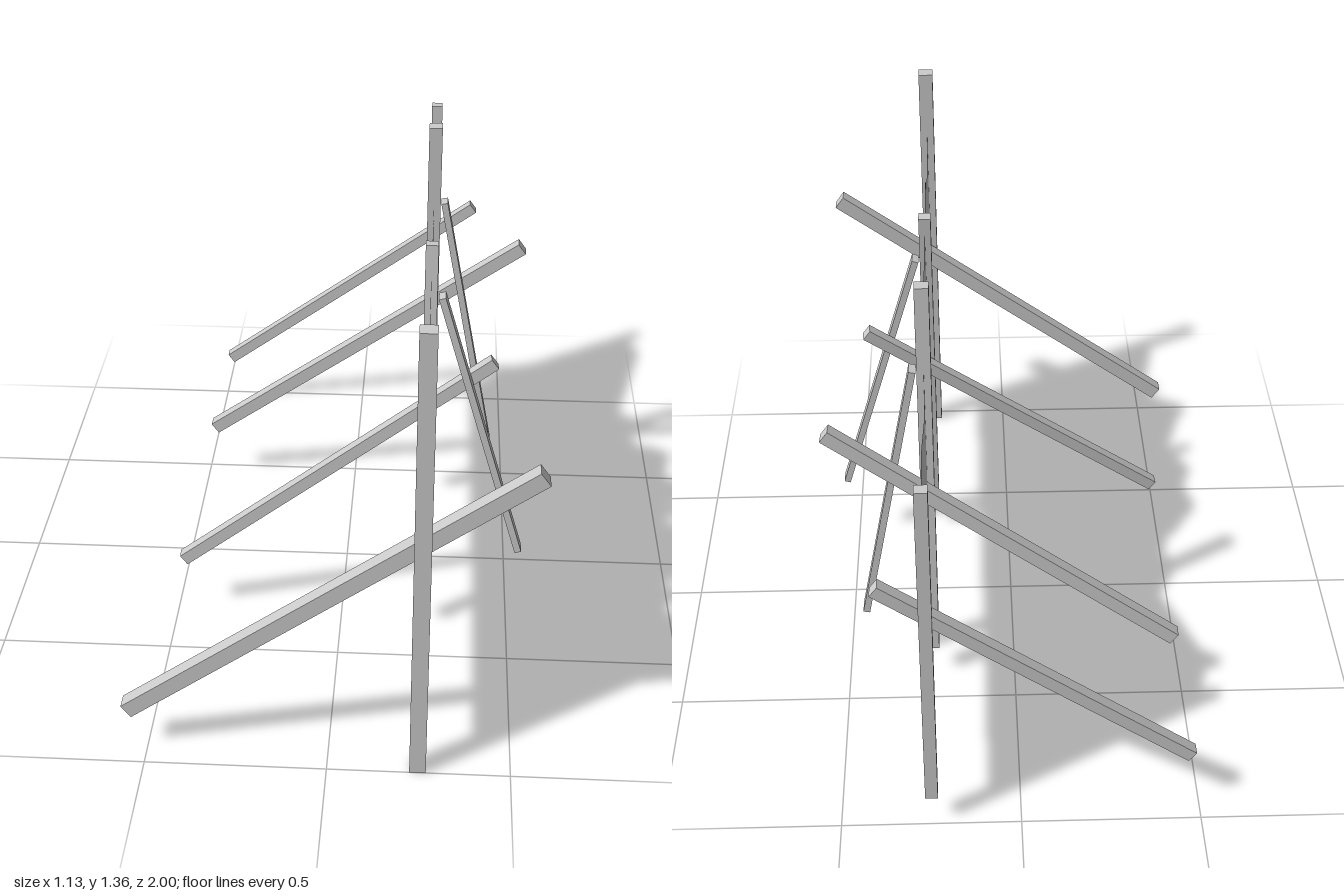
import * as THREE from 'three';

const material = new THREE.MeshStandardMaterial({ color: 0xcccccc, flatShading: true });
const sheetMaterial = new THREE.MeshStandardMaterial({ color: 0xcccccc, side: THREE.DoubleSide });

// Squared timber running from a to b; width lies along z, depth across it
function beam(name, a, b, width, depth) {
  const start = new THREE.Vector3(...a);
  const end = new THREE.Vector3(...b);
  const along = end.clone().sub(start);
  const length = along.length();
  along.normalize();
  const across = new THREE.Vector3().crossVectors(along, new THREE.Vector3(0, 0, 1)).normalize();
  const side = new THREE.Vector3().crossVectors(across, along);
  const mesh = new THREE.Mesh(new THREE.BoxGeometry(depth, length, width), material);
  mesh.quaternion.setFromRotationMatrix(new THREE.Matrix4().makeBasis(across, along, side));
  mesh.position.copy(start).add(end).multiplyScalar(0.5);
  mesh.name = name;
  return mesh;
}

export function createModel() {
  const group = new THREE.Group();
  group.name = 'proppedFence';
  const X = 0.248;

  // Thin sheet with a ragged top edge, points given as (z, y)
  const outline = [
    [0.978, 0.215], [0.978, 1.15], [0.83, 1.115], [0.735, 1.08], [0.675, 1.15], [0.63, 1.095],
    [0.54, 1.195], [0.455, 1.23], [0.285, 1.145], [0.11, 1.23], [0.035, 1.18], [-0.09, 1.222],
    [-0.185, 1.11], [-0.205, 1.065], [-0.28, 1.035], [-0.32, 1.09], [-0.38, 1.075], [-0.46, 0.995],
    [-0.67, 1.085], [-0.845, 1.157], [-0.93, 1.11], [-0.967, 1.125], [-0.982, 1.19], [-0.985, 0.215],
  ];
  const shape = new THREE.Shape(outline.map(([z, y]) => new THREE.Vector2(z, y)));
  const sheet = new THREE.Mesh(new THREE.ShapeGeometry(shape).rotateY(-Math.PI / 2), sheetMaterial);
  sheet.position.x = X;
  sheet.name = 'raggedSheet';
  group.add(sheet);

  // Upright posts: bottom y, z and top y, z, thickness
  const posts = [
    [0, 0.978, 1.36, 0.978, 0.045],
    [0.09, 0.332, 1.23, 0.245, 0.036],
    [0.11, -0.386, 1.34, -0.335, 0.04],
    [0.1, -0.982, 1.155, -0.982, 0.035],
  ];
  posts.forEach(([y0, z0, y1, z1, t], i) =>
    group.add(beam(`post${i + 1}`, [X, y0, z0], [X, y1, z1], t, t)));

  // Long sloping braces, all on the same incline: x, z at each end, thickness
  const incline = (x) => 0.13 + 0.7245 * (x + 0.552);
  const braces = [
    [-0.552, 0.925, 0.548, 0.925, 0.045],
    [-0.477, 0.301, 0.436, 0.217, 0.036],
    [-0.472, -0.455, 0.528, -0.405, 0.04],
    [-0.472, -0.934, 0.38, -0.934, 0.036],
  ];
  braces.forEach(([x0, z0, x1, z1, t], i) =>
    group.add(beam(`brace${i + 1}`, [x0, incline(x0), z0], [x1, incline(x1), z1], t, t)));

  // Slim props leaning on the two middle posts
  group.add(beam('prop1', [0.527, 0.243, 0.28], [0.28, 1.078, 0.262], 0.044, 0.02));
  group.add(beam('prop2', [0.442, 0.232, -0.352], [0.28, 1.087, -0.352], 0.044, 0.02));

  return group;
}
